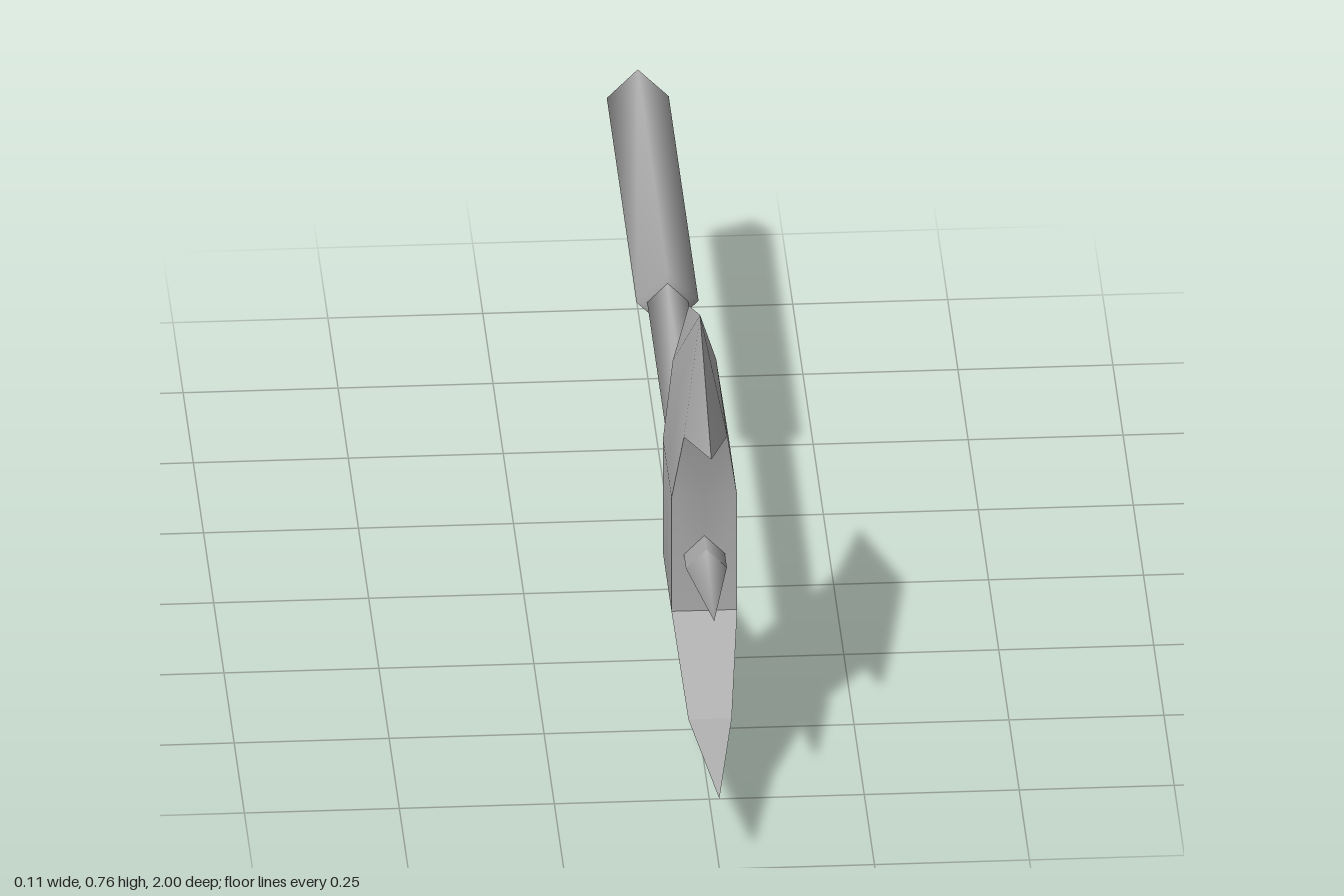
import * as THREE from 'three';
import { mergeVertices, toCreasedNormals } from 'three/addons/utils/BufferGeometryUtils.js';

const AXIS_Y = 0.382; // height of the handle axis
const HEAD_Z = 0.525; // centre of the axe head

// Builds one quarter of the head and mirrors it in x and z.
function headGeometry() {
  // rows from bottom to top: half thickness, y, half width
  const rows = [[0.035, 0.155, 0.245], [0.053, 0.28, 0.105], [0.053, 0.485, 0.105], [0.035, 0.61, 0.137]];
  const P = rows;                              // corners
  const M = rows.map(([x, y]) => [x, y, 0]);   // middle of the broad side
  const E = rows.map(([, y, z]) => [0, y, z]); // middle of the narrow edge
  const bottom = [0, 0, 0], lowTip = [0, 0.126, 0.472];
  const top = [0, 0.76, 0], highTip = [0, 0.638, 0.275];

  const faces = [
    [bottom, M[0], P[0]], [bottom, P[0], lowTip], [E[0], lowTip, P[0]],
    [top, P[3], M[3]], [top, highTip, P[3]], [E[3], P[3], highTip],
  ];
  const quad = (a, b, c, d) => faces.push([a, b, c], [a, c, d]);
  for (let i = 0; i < 3; i++) {
    quad(P[i], M[i], M[i + 1], P[i + 1]);
    quad(E[i], P[i], P[i + 1], E[i + 1]);
  }

  const positions = [];
  for (const sx of [1, -1]) for (const sz of [1, -1]) {
    for (const face of faces) {
      const corners = sx * sz > 0 ? face : [...face].reverse();
      for (const [x, y, z] of corners) positions.push(sx * x, y, HEAD_Z + sz * z);
    }
  }
  const geometry = new THREE.BufferGeometry();
  geometry.setAttribute('position', new THREE.Float32BufferAttribute(positions, 3));
  return toCreasedNormals(geometry, 0.6);
}

// Four-sided bar along z with softly shaded edges and ends.
function barGeometry(radiusFront, radiusBack, zBack, zFront, open = false) {
  let geometry = new THREE.CylinderGeometry(radiusFront, radiusBack, zFront - zBack, 4, 1, open);
  geometry.deleteAttribute('uv');
  geometry.deleteAttribute('normal');
  geometry = mergeVertices(geometry);
  geometry.computeVertexNormals();
  geometry.rotateX(Math.PI / 2);
  geometry.translate(0, AXIS_Y, (zFront + zBack) / 2);
  return geometry;
}

export function createModel() {
  const group = new THREE.Group();
  group.name = 'battleAxe';
  const steel = new THREE.MeshStandardMaterial({ color: 0xb0b0b0 });
  steel.name = 'grey steel';

  const add = (name, geometry) => {
    const mesh = new THREE.Mesh(geometry, steel);
    mesh.name = name;
    group.add(mesh);
  };

  add('axeHead', headGeometry());
  add('shaft', barGeometry(0.033, 0.033, -0.3, 0.68));
  add('spike', barGeometry(0, 0.033, 0.68, 0.87, true));
  add('grip', barGeometry(0.05, 0.05, -1, -0.27));
  return group;
}
